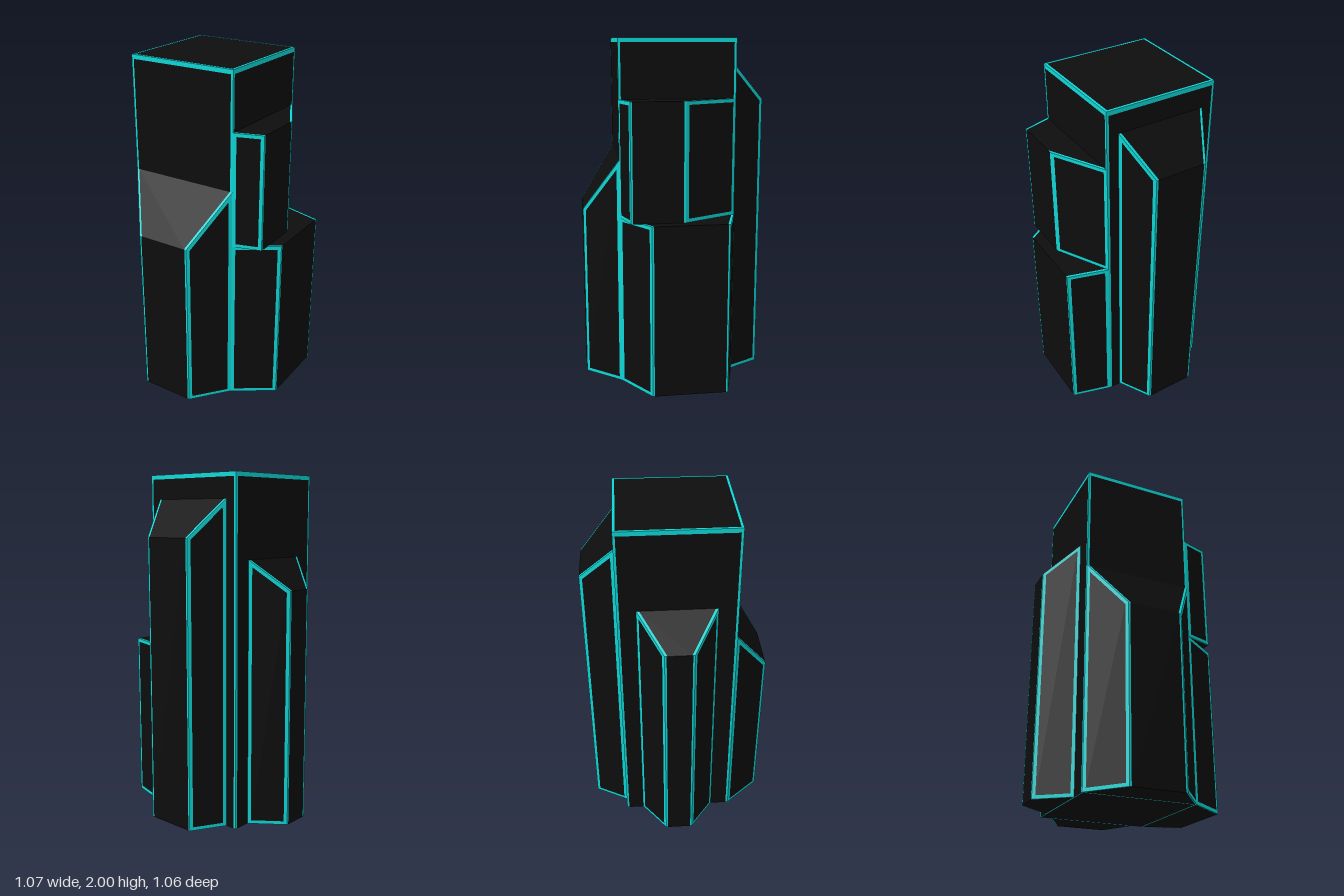
import * as THREE from 'three';

const panel = new THREE.MeshStandardMaterial({ color: 0x0d0d0d });
panel.name = 'blackPanel';
const trim = new THREE.MeshStandardMaterial({ color: 0x0fd6d6 });
trim.name = 'cyanTrim';

const V = (x, y, z) => new THREE.Vector3(x, y, z);

// Collects flat convex faces, each with a trim band of chosen width along every edge
class PartBuilder {
  constructor(center) {
    this.center = center;
    this.dark = [];
    this.bright = [];
  }

  fan(list, pts) {
    for (let i = 1; i < pts.length - 1; i++) {
      for (const p of [pts[0], pts[i], pts[i + 1]]) list.push(p.x, p.y, p.z);
    }
  }

  // widths[i] is the band along the edge from corner i to corner i + 1
  face(pts, widths) {
    const n = pts.length;
    const normal = pts[1].clone().sub(pts[0]).cross(pts[2].clone().sub(pts[0])).normalize();
    const mid = pts.reduce((s, p) => s.add(p), V(0, 0, 0)).divideScalar(n);
    if (normal.dot(mid.sub(this.center)) < 0) {
      pts = [...pts].reverse();
      widths = widths.map((_, i) => widths[(2 * n - 2 - i) % n]);
      normal.negate();
    }
    const dirs = pts.map((p, i) => pts[(i + 1) % n].clone().sub(p).normalize());
    const ins = dirs.map(d => normal.clone().cross(d));
    const inner = pts.map((p, i) => {
      const h = (i + n - 1) % n;
      return p.clone()
        .addScaledVector(dirs[i], widths[h] / dirs[i].dot(ins[h]))
        .addScaledVector(dirs[h], widths[i] / dirs[h].dot(ins[i]));
    });
    this.fan(this.dark, inner);
    for (let i = 0; i < n; i++) {
      const j = (i + 1) % n;
      if (widths[i] > 0) this.fan(this.bright, [pts[i], pts[j], inner[j], inner[i]]);
    }
  }

  mesh(name) {
    const geo = new THREE.BufferGeometry();
    geo.setAttribute('position', new THREE.Float32BufferAttribute([...this.dark, ...this.bright], 3));
    geo.addGroup(0, this.dark.length / 3, 0);
    geo.addGroup(this.dark.length / 3, this.bright.length / 3, 1);
    geo.computeVertexNormals();
    const mesh = new THREE.Mesh(geo, [panel, trim]);
    mesh.name = name;
    return mesh;
  }
}

const X0 = -0.355, X1 = 0.305, Z0 = -0.335, Z1 = 0.325;

// Main square tower
function tower() {
  const b = new PartBuilder(V((X0 + X1) / 2, 1, (Z0 + Z1) / 2));
  const plan = [[X0, Z0], [X1, Z0], [X1, Z1], [X0, Z1]];
  const at = (i, y) => V(plan[i % 4][0], y, plan[i % 4][1]);
  for (let i = 0; i < 4; i++) {
    b.face([at(i, 0), at(i + 1, 0), at(i + 1, 2), at(i, 2)], [0, 0.014, 0.025, 0.014]);
  }
  for (const y of [0, 2]) b.face([0, 1, 2, 3].map(i => at(i, y)), Array(4).fill(y ? 0.014 : 0.007));
  return b.mesh('tower');
}

// Tapered bay on a tower wall: plan runs wall, outer, outer, wall
function bay(name, plan, base, wallTop, outerTop) {
  const mid = [0, 1].map(k => plan.reduce((s, p) => s + p[k], 0) / 4);
  const b = new PartBuilder(V(mid[0], (base + outerTop) / 2, mid[1]));
  const low = plan.map(([x, z]) => V(x, base, z));
  const high = plan.map(([x, z], i) => V(x, i === 0 || i === 3 ? wallTop : outerTop, z));
  const w = 0.02, s = 0.011;
  // framed slanted sides
  for (const [i, j] of [[0, 1], [2, 3]]) b.face([low[i], low[j], high[j], high[i]], [w, w, w, w]);
  // outer face, roof and underside, banded along their side edges
  b.face([low[1], low[2], high[2], high[1]], [0, s, 0, s]);
  b.face(high, [0.014, 0, 0.014, 0]);
  b.face(low, [0.007, 0, 0.007, 0]);
  return b.mesh(name);
}

export function createModel() {
  const g = new THREE.Group();
  g.name = 'skyscraper';
  g.add(
    tower(),
    bay('frontBay', [[X0, Z1], [-0.188, 0.53], [0.138, 0.53], [X1, Z1]], 0, 1.33, 1.02),
    bay('backBay', [[-0.285, Z0], [-0.18, -0.53], [0.13, -0.53], [0.235, Z0]], 0, 1.86, 1.65),
    bay('rightBay', [[X0, -0.23], [-0.538, -0.09], [-0.538, 0.073], [X0, 0.213]], 0, 1.53, 1.36),
    bay('lowerLeftBay', [[X1, Z0], [0.535, -0.268], [0.535, 0.168], [X1, Z1]], 0, 1, 1),
    bay('upperLeftBay', [[X1, Z0], [0.468, -0.028], [0.468, 0.275], [X1, Z1]], 1, 1.667, 1.667),
  );
  return g;
}
